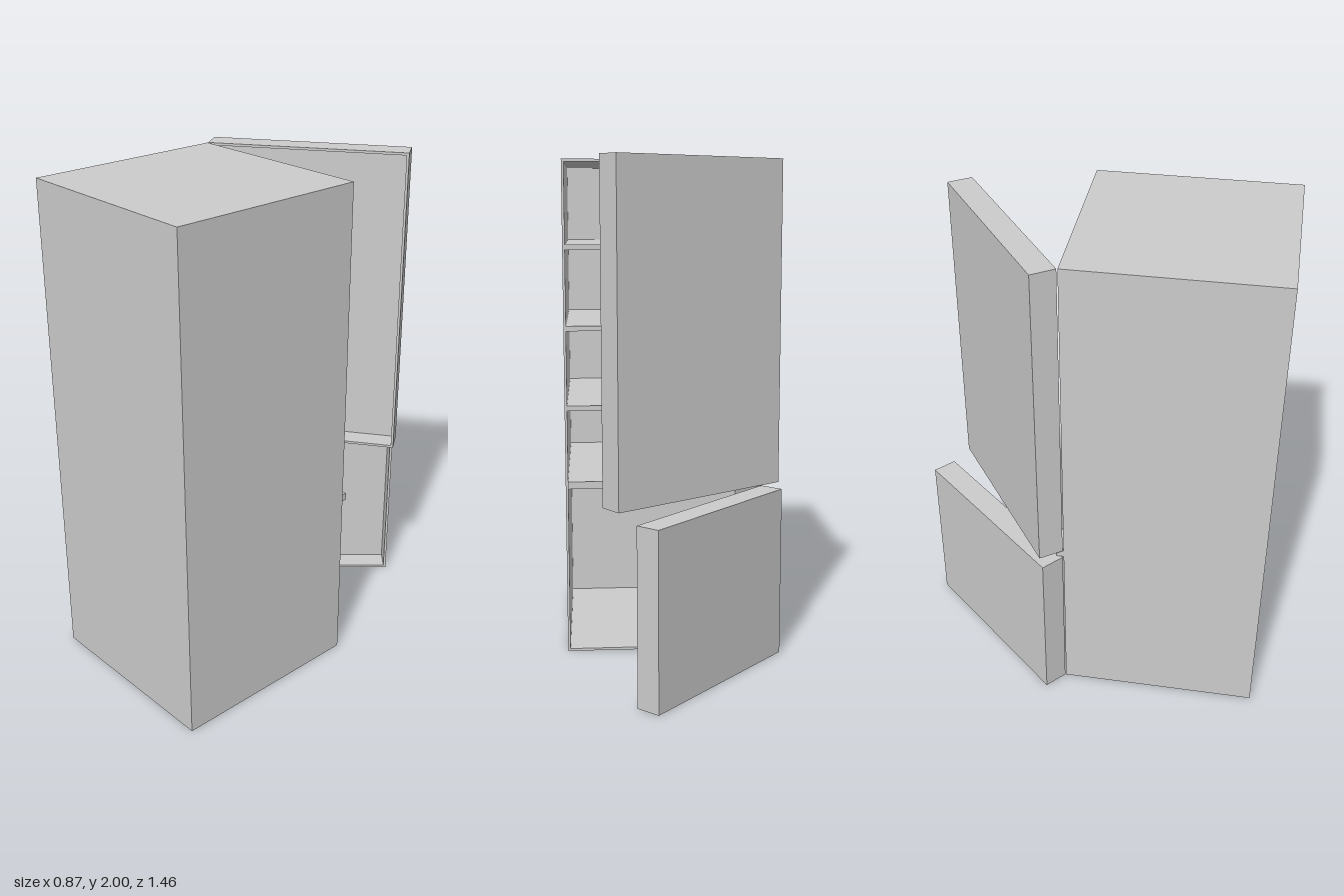
import * as THREE from 'three';

const WALL = 0.01;

export function createModel() {
  const model = new THREE.Group();
  model.name = 'refrigerator';
  const material = new THREE.MeshStandardMaterial({ color: 0xcccccc });

  // Box given by its minimum and maximum corners
  const slab = (parent, name, [x0, y0, z0], [x1, y1, z1]) => {
    const mesh = new THREE.Mesh(new THREE.BoxGeometry(x1 - x0, y1 - y0, z1 - z0), material);
    mesh.position.set((x0 + x1) / 2, (y0 + y1) / 2, (z0 + z1) / 2);
    mesh.name = name;
    parent.add(mesh);
  };

  // Thin-walled tray, closed on one z side and open on the other
  const tray = (name, [x0, y0, z0], [x1, y1, z1], closedAtMaxZ) => {
    const group = new THREE.Group();
    group.name = name;
    const p0 = closedAtMaxZ ? z1 - WALL : z0;
    const p1 = p0 + WALL;
    const r0 = closedAtMaxZ ? z0 : p1;
    const r1 = closedAtMaxZ ? p0 : z1;
    slab(group, name + 'Panel', [x0, y0, p0], [x1, y1, p1]);
    slab(group, name + 'Bottom', [x0, y0, r0], [x1, y0 + WALL, r1]);
    slab(group, name + 'Top', [x0, y1 - WALL, r0], [x1, y1, r1]);
    slab(group, name + 'SideA', [x0, y0 + WALL, r0], [x0 + WALL, y1 - WALL, r1]);
    slab(group, name + 'SideB', [x1 - WALL, y0 + WALL, r0], [x1, y1 - WALL, r1]);
    model.add(group);
    return group;
  };

  // Cabinet, open towards -z
  const left = 0.434, right = -0.363, open = -0.07, closed = 0.728;
  const cabinet = tray('cabinet', [right, 0, open], [left, 2, closed], true);

  // Divider between the compartments, standing proud of the opening
  slab(cabinet, 'divider', [right + 0.002, 0.695, -0.1], [left - WALL, 0.725, closed - WALL]);

  // Shelves of the upper compartment
  for (const top of [1.03, 1.35, 1.67]) {
    slab(cabinet, 'shelf', [right + WALL, top - 0.02, open], [left - WALL, top, closed - WALL]);
  }

  // Hollow doors, swung open about the same hinge line
  const door = (name, y0, y1, degrees) => {
    const group = tray(name, [0, y0, -0.1], [0.797, y1, 0], false);
    group.position.set(right, 0, -0.074);
    group.rotation.y = THREE.MathUtils.degToRad(degrees);
  };
  door('upperDoor', 0.725, 2, 35);
  door('lowerDoor', 0, 0.692, 48);

  return model;
}
